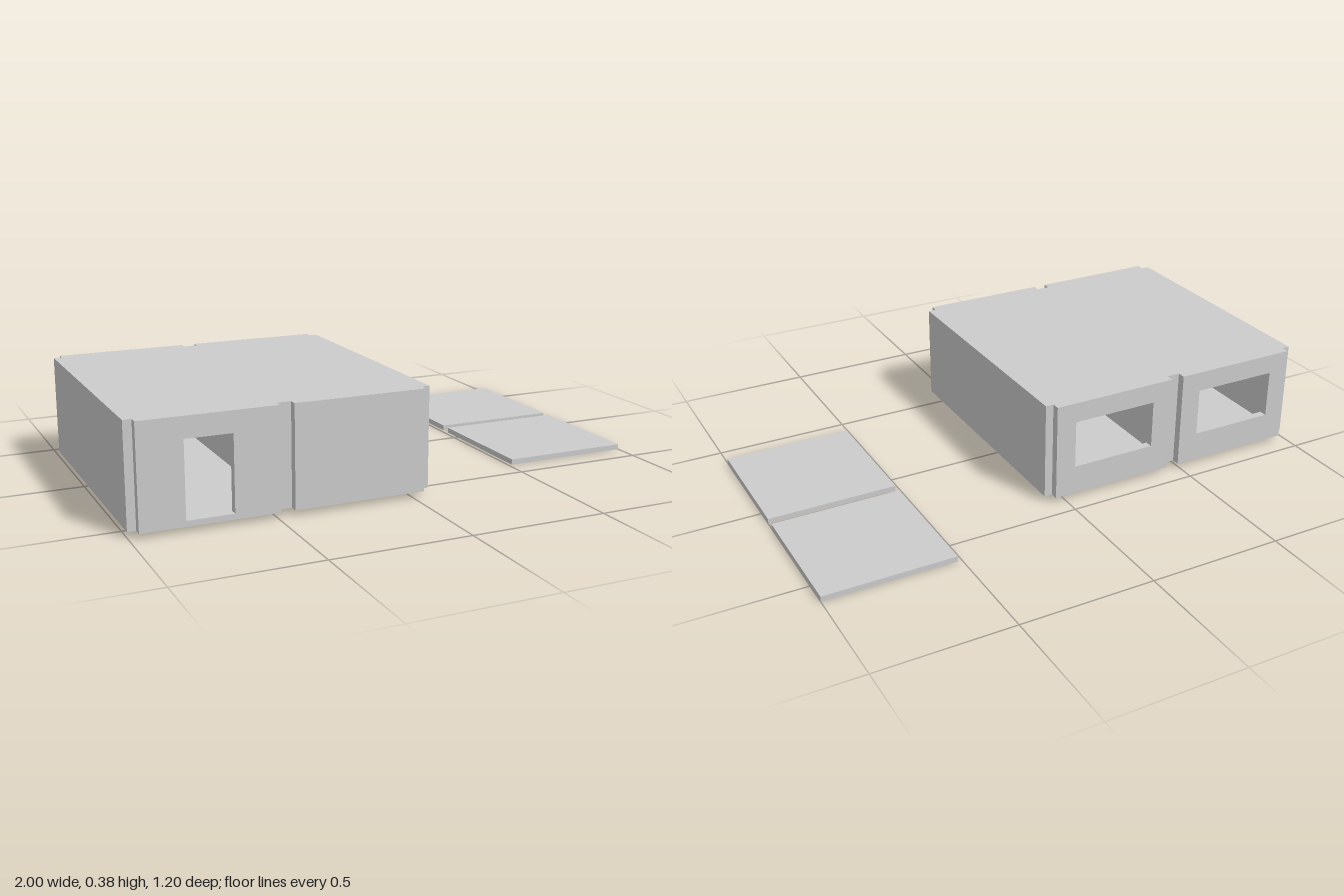
import * as THREE from 'three';

const material = new THREE.MeshStandardMaterial({ color: 0xcccccc, flatShading: true });

// House limits
const BOTTOM = 0.02, TOP = 0.385, SLAB = 0.02, WALL = 0.03;
const FRONT = 0.57, BACK = -0.40; // ends of the side walls, inside the facades

function add(parent, name, geometry) {
  const mesh = new THREE.Mesh(geometry, material);
  mesh.name = name;
  parent.add(mesh);
  return mesh;
}

// Box given by its limits on each axis
function block(parent, name, [x0, x1], [y0, y1], [z0, z1]) {
  const mesh = add(parent, name, new THREE.BoxGeometry(x1 - x0, y1 - y0, z1 - z0));
  mesh.position.set((x0 + x1) / 2, (y0 + y1) / 2, (z0 + z1) / 2);
}

function rectangle(target, x0, x1, y0, y1) {
  target.moveTo(x0, y0);
  target.lineTo(x1, y0);
  target.lineTo(x1, y1);
  target.lineTo(x0, y1);
  target.closePath();
  return target;
}

// Upright facade panel with an optional opening
function facade(parent, name, [x0, x1], z, opening) {
  const shape = rectangle(new THREE.Shape(), x0, x1, BOTTOM, TOP);
  if (opening) shape.holes.push(rectangle(new THREE.Path(), ...opening));
  const mesh = add(parent, name, new THREE.ExtrudeGeometry(shape, { depth: WALL, bevelEnabled: false }));
  mesh.position.z = z;
}

export function createModel() {
  const model = new THREE.Group();
  model.name = 'houseModule';
  const house = new THREE.Group();
  house.name = 'house';
  model.add(house);

  // Floor and roof slabs
  block(house, 'floor', [-1, 0.07], [BOTTOM, BOTTOM + SLAB], [BACK, FRONT]);
  block(house, 'roof', [-1, 0.07], [TOP - SLAB, TOP], [BACK, FRONT]);

  // Outer side walls and the partition between the two rooms
  const inner = [BOTTOM + SLAB, TOP - SLAB];
  block(house, 'rightWall', [-1, -0.97], inner, [BACK, FRONT]);
  block(house, 'partition', [-0.49, -0.44], inner, [BACK, FRONT]);
  block(house, 'leftWall', [0.04, 0.07], inner, [BACK, FRONT]);

  // Facades: a door in one room, a window at the back of each
  const rooms = [
    { side: 'right', span: [-0.97, -0.49], door: [-0.815, -0.65, 0.04, 0.31] },
    { side: 'left', span: [-0.44, 0.04] },
  ];
  for (const { side, span, door } of rooms) {
    const mid = (span[0] + span[1]) / 2;
    facade(house, side + 'FrontFacade', span, FRONT, door);
    facade(house, side + 'BackFacade', span, BACK - WALL, [mid - 0.163, mid + 0.163, 0.13, 0.31]);
  }

  // Two loose panels lying beside the house
  block(model, 'backPanel', [0.515, 1], [0, 0.02], [-0.598, -0.113]);
  block(model, 'frontPanel', [0.515, 1], [0, 0.02], [-0.077, 0.408]);

  return model;
}
